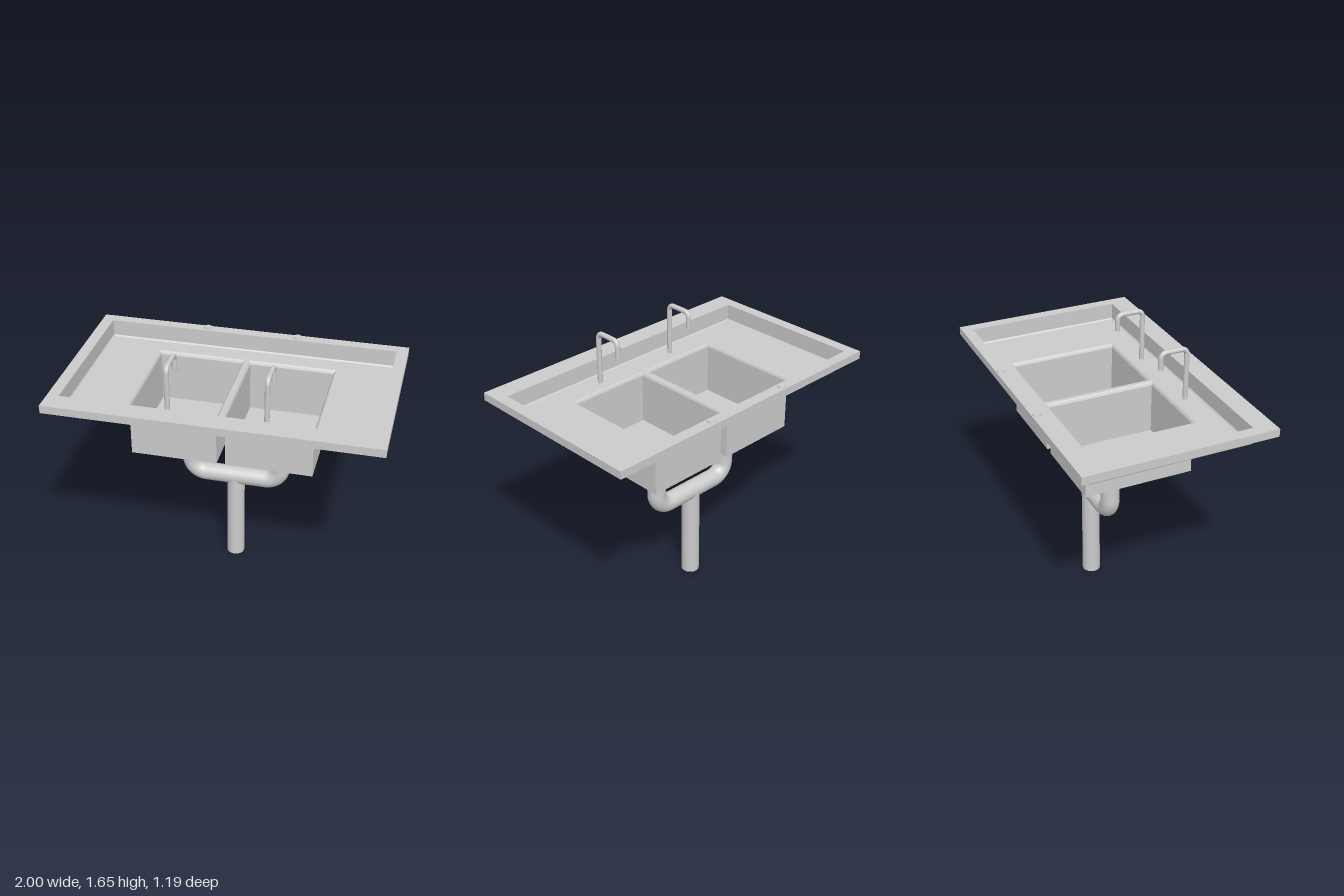
import * as THREE from 'three';

const steel = new THREE.MeshStandardMaterial({ color: 0xcccccc, side: THREE.DoubleSide });

function add(parent, name, geometry, x = 0, y = 0, z = 0) {
  const mesh = new THREE.Mesh(geometry, steel);
  mesh.name = name;
  mesh.position.set(x, y, z);
  parent.add(mesh);
  return mesh;
}

// Flat-faced skin through rectangular rings [x0, x1, z0, z1, y], optionally closed at the last ring
function rectLoft(rings, closeEnd = false) {
  const pos = [];
  const corners = ([x0, x1, z0, z1, y]) => [[x0, y, z1], [x1, y, z1], [x1, y, z0], [x0, y, z0]];
  const quad = (a, b, c, d) => pos.push(...a, ...b, ...c, ...a, ...c, ...d);
  const loops = rings.map(corners);
  for (let i = 0; i < loops.length - 1; i++) {
    for (let k = 0; k < 4; k++) {
      const n = (k + 1) % 4;
      quad(loops[i][k], loops[i][n], loops[i + 1][n], loops[i + 1][k]);
    }
  }
  if (closeEnd) quad(...loops[loops.length - 1]);
  const geometry = new THREE.BufferGeometry();
  geometry.setAttribute('position', new THREE.Float32BufferAttribute(pos, 3));
  geometry.computeVertexNormals();
  return geometry;
}

// Path through points with rounded corners
function roundedPath(points, radius) {
  const p = points.map((a) => new THREE.Vector3(...a));
  const path = new THREE.CurvePath();
  let start = p[0];
  for (let i = 1; i < p.length - 1; i++) {
    const toward = (q, d) => p[i].clone().add(q.clone().sub(p[i]).setLength(d));
    const a = toward(p[i - 1], radius), b = toward(p[i + 1], radius);
    path.add(new THREE.LineCurve3(start, a));
    path.add(new THREE.CubicBezierCurve3(a, toward(p[i - 1], radius * 0.448), toward(p[i + 1], radius * 0.448), b));
    start = b;
  }
  path.add(new THREE.LineCurve3(start, p[p.length - 1]));
  return path;
}

function rectPath(path, x0, x1, y0, y1) {
  path.moveTo(x0, y0);
  path.lineTo(x1, y0);
  path.lineTo(x1, y1);
  path.lineTo(x0, y1);
  path.closePath();
  return path;
}

export function createModel() {
  const sink = new THREE.Group();
  sink.name = 'doubleSink';

  // Thick rim and the recessed tray wall
  add(sink, 'rimAndTrayWall', rectLoft([
    [-0.928, 0.928, -0.527, 0.467, 1.365],
    [-1, 1, -0.597, 0.597, 1.365],
    [-1, 1, -0.597, 0.597, 1.415],
    [-0.928, 0.928, -0.527, 0.467, 1.415],
    [-0.928, 0.928, -0.527, 0.467, 1.312],
    [-0.92, 0.92, -0.519, 0.459, 1.304],
  ]));

  // Tray floor with two bowl openings
  const floor = rectPath(new THREE.Shape(), -0.92, 0.92, -0.459, 0.519);
  floor.holes.push(rectPath(new THREE.Path(), -0.575, -0.011, -0.312, 0.402));
  floor.holes.push(rectPath(new THREE.Path(), 0.011, 0.575, -0.312, 0.402));
  add(sink, 'trayFloor', new THREE.ShapeGeometry(floor).rotateX(-Math.PI / 2), 0, 1.304, 0);

  for (const [side, s] of [['left', 1], ['right', -1]]) {
    // Bowl with an eased upper edge
    const ring = (inset, y) => {
      const xs = [s * (0.011 + inset), s * (0.575 - inset)].sort((a, b) => a - b);
      return [...xs, -0.402 + inset, 0.312 - inset, y];
    };
    add(sink, side + 'Bowl', rectLoft([
      ring(0, 1.304), ring(0.01, 1.296), ring(0.016, 1.284), ring(0.016, 0.966),
    ], true));

    // Hooked tap rising from the tray
    const tap = new THREE.Group();
    tap.name = side + 'Tap';
    tap.position.x = s * 0.295;
    const hook = roundedPath([[0, 1.304, 0.384], [0, 1.637, 0.384], [0, 1.637, 0.213], [0, 1.535, 0.213]], 0.035);
    add(tap, 'spout', new THREE.TubeGeometry(hook, 90, 0.016, 16));
    add(tap, 'spoutEnd', new THREE.CircleGeometry(0.016, 16).rotateX(Math.PI / 2), 0, 1.535, 0.213);
    sink.add(tap);

    // Small button on the back rim
    add(sink, side + 'Button', new THREE.CylinderGeometry(0.024, 0.027, 0.012, 24), s * 0.295, 1.42, -0.565);
  }

  // U-shaped drain joining both bowls, with the down pipe below
  const drain = roundedPath([[-0.295, 0.966, -0.11], [-0.295, 0.615, -0.11], [0.295, 0.615, -0.11], [0.295, 0.966, -0.11]], 0.1);
  add(sink, 'drainPipe', new THREE.TubeGeometry(drain, 120, 0.058, 32));
  add(sink, 'downPipe', new THREE.CylinderGeometry(0.057, 0.057, 0.605, 32, 1, true), 0, 0.3025, -0.11);

  return sink;
}
